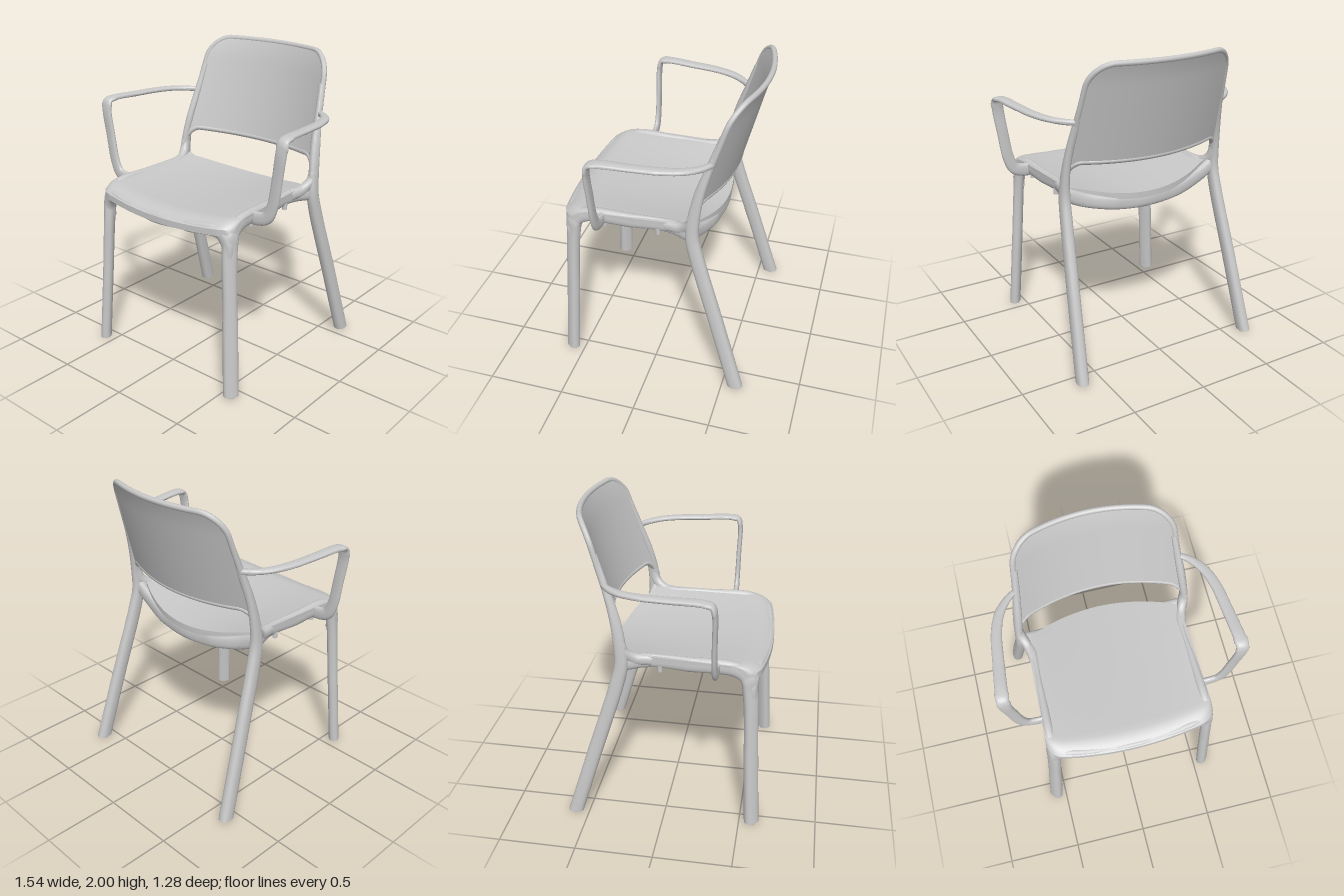
import * as THREE from 'three';
import { toCreasedNormals } from 'three/addons/utils/BufferGeometryUtils.js';

const plastic = new THREE.MeshStandardMaterial({ color: 0xc8c8c8 });
plastic.name = 'light grey plastic';

// Closed solid through equal-sized rings of points, with strip caps at both ends
function loft(rings, crease = 0.7) {
  const n = rings[0].length, pts = rings.flat(), idx = [];
  const quad = (a, b, c, d) => idx.push(a, b, c, a, c, d);
  for (let j = 0; j < rings.length - 1; j++)
    for (let i = 0; i < n; i++) {
      const k = (i + 1) % n;
      quad(j * n + i, j * n + k, (j + 1) * n + k, (j + 1) * n + i);
    }
  const last = (rings.length - 1) * n;
  for (let i = 0; i < n / 2 - 1; i++) {
    quad(i, n - 1 - i, n - 2 - i, i + 1);
    quad(last + i, last + i + 1, last + n - 2 - i, last + n - 1 - i);
  }
  // turn the faces outwards
  let volume = 0;
  const c = new THREE.Vector3();
  for (let i = 0; i < idx.length; i += 3)
    volume += pts[idx[i]].dot(c.crossVectors(pts[idx[i + 1]], pts[idx[i + 2]]));
  if (volume < 0) idx.reverse();
  const g = new THREE.BufferGeometry().setFromPoints(pts);
  g.setIndex(idx);
  return toCreasedNormals(g, crease);
}

// Rounded section swept along stations [x, y, z, nx, ny, nz, width, thickness];
// n is the thickness direction. side = -1 mirrors. footY cuts the start level.
function sweep(stations, side = 1, footY = null, steps = 8) {
  const curve = f => new THREE.CatmullRomCurve3(stations.map(f));
  const path = curve(a => new THREE.Vector3(a[0] * side, a[1], a[2]));
  const normal = curve(a => new THREE.Vector3(a[3] * side, a[4], a[5]));
  const size = curve(a => new THREE.Vector3(a[6], a[7], 0));
  const count = (stations.length - 1) * steps, rings = [];
  for (let j = 0; j <= count; j++) {
    const t = j / count, p = path.getPoint(t), T = path.getTangent(t), s = size.getPoint(t);
    const w = T.clone().cross(normal.getPoint(t)).normalize();
    const n = w.clone().cross(T).normalize();
    const ring = [];
    for (let i = 0; i < 20; i++) {
      const a = (i + 0.5) / 20 * Math.PI * 2, ca = Math.cos(a), sa = Math.sin(a);
      const u = Math.sign(ca) * Math.abs(ca) ** 0.8 * s.x / 2;
      const v = Math.sign(sa) * Math.abs(sa) ** 0.8 * s.y / 2;
      const q = p.clone().addScaledVector(w, u).addScaledVector(n, v);
      if (j === 0 && footY !== null) q.addScaledVector(T, (footY - q.y) / T.y);
      ring.push(q);
    }
    rings.push(ring);
  }
  return loft(rings);
}

// Curved slab: f(s, v, face) with s in -1..1, v in 0..1, face 0 or 1
function slab(f, ns = 48, nv = 28) {
  const rings = [];
  for (let j = 0; j <= nv; j++) {
    const v = (1 - Math.cos(j / nv * Math.PI)) / 2, ring = [];
    for (const face of [0, 1])
      for (let i = 0; i <= ns; i++) {
        const s = Math.sin((i / ns - 0.5) * Math.PI) * (face ? -1 : 1);
        ring.push(f(s, v, face));
      }
    rings.push(ring);
  }
  return loft(rings);
}

// Drop of a rounded corner that begins at |s| = start
const corner = (s, start, depth) => {
  const k = Math.max(0, (Math.abs(s) - start) / (1 - start));
  return depth * (1 - Math.sqrt(Math.max(0, 1 - k * k)));
};
const lerp = THREE.MathUtils.lerp;

// Mid-surface of the curved, reclined backrest
function backPoint(s, v, offset = 0) {
  const low = 1.36 - 0.012 * (1 - s * s) - corner(s, 0.84, 0.12);
  const y = lerp(low, 1.985 - corner(s, 0.72, 0.14), v);
  const x = s * (0.543 - 0.11 * (y - 1.4));
  const curl = 0.012 * Math.max(0, (y - 1.85) / 0.15) ** 2;
  const z = -0.412 - 0.262 * (y - 1.35) + 0.135 * (x / 0.55) ** 2 - curl;
  return new THREE.Vector3(x, y, z + offset);
}

// Dished seat with a front edge that rolls down
function seatPoint(s, v, face) {
  const front = 0.638 - 0.06 * s * s - corner(s, 0.82, 0.07);
  const z = lerp(-0.37 + 0.15 * s * s, front, v);
  const x = s * (0.53 + 0.035 * z);
  const dish = (0.03 + 0.055 * (1 - v)) * (1 - s * s);
  const roll = 0.045 * Math.max(0, (v - 0.88) / 0.12) ** 2;
  const y = 1.178 - 0.018 * z - dish - roll - 0.012 * s ** 14;
  return new THREE.Vector3(x, y - face * 0.04, z);
}

export function createModel() {
  const model = new THREE.Group();
  model.name = 'armchair';
  const add = (name, geometry) => {
    const mesh = new THREE.Mesh(geometry, plastic);
    mesh.name = name;
    model.add(mesh);
    return mesh;
  };

  add('seat', slab(seatPoint));
  add('backrest', slab((s, v, face) => backPoint(s, v, face ? -0.014 : 0.015)));

  // Rounded bead around the backrest edge
  const edge = [];
  for (let i = 0; i <= 40; i++) edge.push(backPoint(Math.sin((i / 40 - 0.5) * Math.PI), 1));
  for (let i = 1; i < 10; i++) edge.push(backPoint(1, 1 - i / 10));
  for (let i = 0; i <= 40; i++) edge.push(backPoint(-Math.sin((i / 40 - 0.5) * Math.PI), 0));
  for (let i = 1; i < 10; i++) edge.push(backPoint(-1, i / 10));
  add('backrestRim', new THREE.TubeGeometry(new THREE.CatmullRomCurve3(edge, true), 240, 0.018, 10, true));

  // Rails under the front and back of the seat
  const mirrored = half => [...half.map(a => [-a[0], a[1], a[2], -a[3], ...a.slice(4)]),
    ...half.slice(0, -1).reverse()];
  add('frontRail', sweep(mirrored([
    [0.515, 0.93, 0.537, 0, 0, 1, 0.07, 0.08],
    [0.505, 1.02, 0.542, 0, 0, 1, 0.08, 0.07],
    [0.455, 1.085, 0.56, 0, 0, 1, 0.08, 0.06],
    [0.25, 1.08, 0.595, 0, 0, 1, 0.075, 0.055],
    [0, 1.072, 0.61, 0, 0, 1, 0.075, 0.055]])));
  add('backRail', sweep(mirrored([
    [0.55, 1.14, -0.25, 0, 0, 1, 0.09, 0.06],
    [0.42, 1.085, -0.275, 0, 0, 1, 0.09, 0.05],
    [0.22, 1.045, -0.325, 0, 0, 1, 0.09, 0.045],
    [0, 1.033, -0.343, 0, 0, 1, 0.09, 0.045]])));

  for (const [side, label] of [[1, 'left'], [-1, 'right']]) {
    // Front leg bending into the side rail
    add(label + 'FrontLegAndRail', sweep([
      [0.57, 0.012, 0.582, 0.8, 0, 0.6, 0.098, 0.07],
      [0.542, 0.5, 0.558, 0.8, 0, 0.6, 0.096, 0.07],
      [0.516, 0.97, 0.533, 0.85, 0, 0.5, 0.096, 0.07],
      [0.514, 1.075, 0.51, 1, 0, 0.2, 0.096, 0.07],
      [0.512, 1.122, 0.43, 1, 0, 0, 0.095, 0.068],
      [0.505, 1.125, 0.15, 1, 0, 0, 0.095, 0.062],
      [0.5, 1.128, -0.12, 1, 0, 0, 0.095, 0.062],
      [0.535, 1.12, -0.24, 1, 0, 0, 0.1, 0.07]], side, 0.012));

    // Rear leg continuing as the upright along the backrest edge
    add(label + 'RearLegAndUpright', sweep([
      [0.632, 0.012, -0.588, 1, 0, 0, 0.096, 0.076],
      [0.6, 0.5, -0.44, 1, 0, 0, 0.094, 0.074],
      [0.566, 0.98, -0.292, 1, 0, 0, 0.09, 0.07],
      [0.559, 1.12, -0.262, 1, 0, 0, 0.085, 0.065],
      [0.556, 1.26, -0.27, 1, 0, 0.1, 0.075, 0.052],
      [0.54, 1.42, -0.298, 0.9, 0, 0.4, 0.065, 0.05],
      [0.514, 1.62, -0.358, 0.9, 0, 0.4, 0.045, 0.045],
      [0.492, 1.8, -0.416, 0.9, 0, 0.4, 0.034, 0.034]], side, 0.012));

    // Fillet from the side rail up into the upright
    add(label + 'RailFillet', sweep([
      [0.505, 1.135, -0.08, 1, 0, 0, 0.07, 0.055],
      [0.525, 1.15, -0.19, 1, 0, 0, 0.07, 0.06],
      [0.55, 1.2, -0.248, 1, 0, 0, 0.065, 0.06],
      [0.556, 1.3, -0.274, 1, 0, 0, 0.05, 0.045]], side));

    // Flat armrest that turns down and in to the side rail
    add(label + 'Armrest', sweep([
      [0.515, 1.622, -0.365, 0, 1, 0, 0.035, 0.035],
      [0.575, 1.625, -0.32, 0, 1, 0, 0.045, 0.034],
      [0.64, 1.631, -0.235, 0, 1, 0, 0.06, 0.032],
      [0.682, 1.636, -0.11, 0, 1, 0, 0.067, 0.032],
      [0.706, 1.641, 0.08, 0, 1, 0, 0.072, 0.032],
      [0.724, 1.645, 0.26, 0, 1, 0, 0.077, 0.032],
      [0.729, 1.632, 0.314, 0, 0.7, 0.7, 0.077, 0.032],
      [0.726, 1.58, 0.329, 0, 0, 1, 0.077, 0.032],
      [0.7, 1.4, 0.328, 0, 0, 1, 0.074, 0.032],
      [0.668, 1.22, 0.326, 0, 0, 1, 0.076, 0.034],
      [0.63, 1.147, 0.326, 0, 0, 1, 0.08, 0.036],
      [0.565, 1.125, 0.326, 0, 0, 1, 0.088, 0.038],
      [0.505, 1.125, 0.326, 0, 0, 1, 0.09, 0.038]], side));

    // Foot glides and small studs under the rail
    for (const [x, z] of [[0.57, 0.582], [0.632, -0.588]])
      add(label + 'Glide', new THREE.CylinderGeometry(0.03, 0.028, 0.02, 20)).position.set(x * side, 0.01, z);
    for (const z of [0.32, -0.03])
      add(label + 'Stud', new THREE.CylinderGeometry(0.016, 0.016, 0.04, 16)).position.set(0.505 * side, 1.08, z);
  }
  return model;
}
